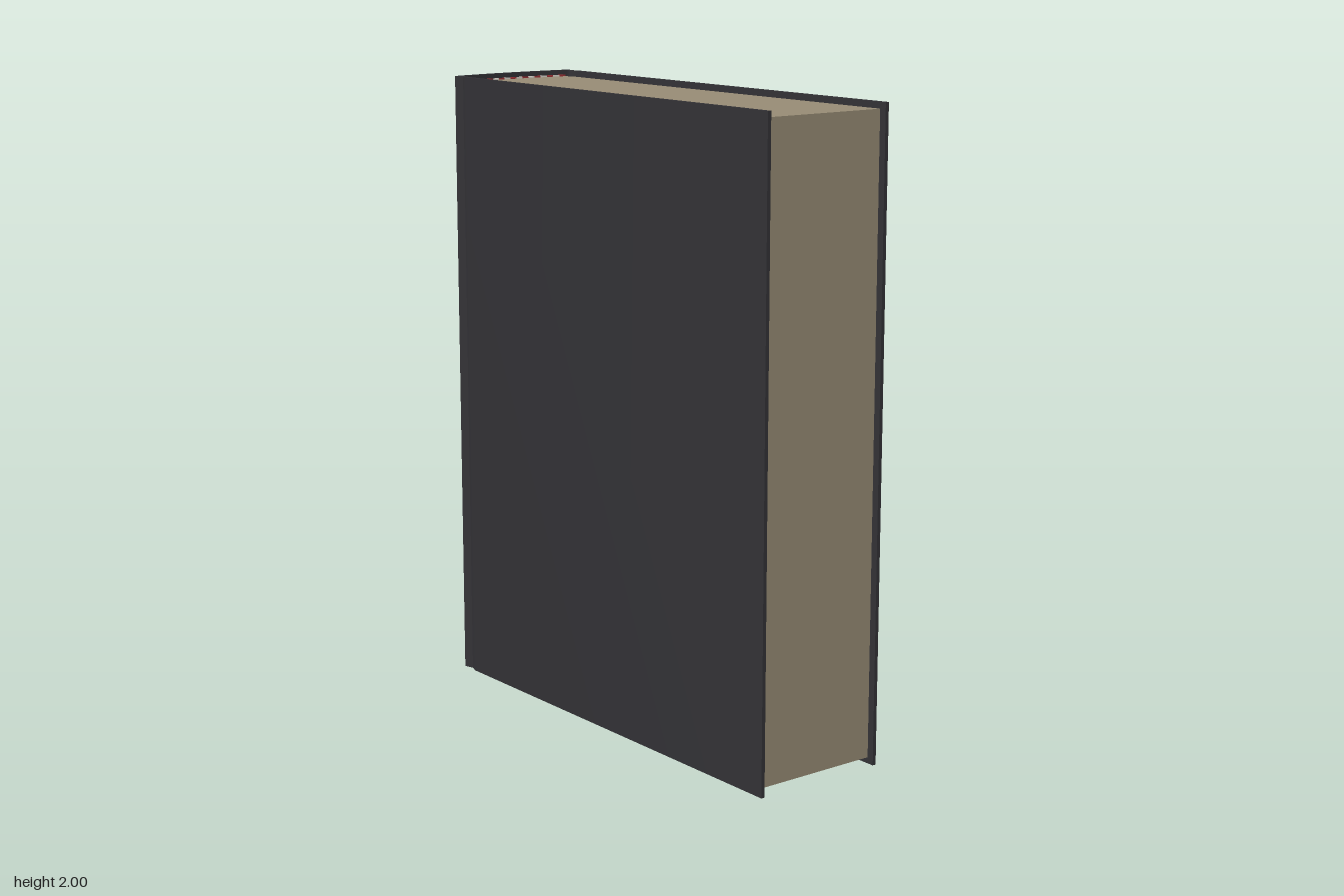
import * as THREE from 'three';
import { toCreasedNormals } from 'three/addons/utils/BufferGeometryUtils.js';

const HALF_DEPTH = 0.227;
const BOARD = 0.012;

// Gentle bow of the spine: x of the outer face at a given z
const spineX = (z) => -0.787 + 0.017 * (z / HALF_DEPTH) ** 2;

// Points along the spine bow, from -halfZ to +halfZ
function spineArc(halfZ, inset, steps = 12) {
  return Array.from({ length: steps + 1 }, (_, i) => {
    const z = -halfZ + (2 * halfZ * i) / steps;
    return new THREE.Vector2(spineX(z) + inset, z);
  });
}

// Extrude an (x, z) outline upward from y0 to y1
function upright(points, y0, y1) {
  const geo = new THREE.ExtrudeGeometry(new THREE.Shape(points), { depth: y1 - y0, bevelEnabled: false });
  geo.rotateX(Math.PI / 2).translate(0, y1, 0);
  return toCreasedNormals(geo, 0.35);
}

// Spine bow plus both boards with their hinge grooves, as an open line
function coverLine(inset) {
  const z = HALF_DEPTH - inset;
  const side = [[-0.737, z - 0.009], [-0.71, z], [0.787, z]];
  const front = side.map(([x, d]) => new THREE.Vector2(x, d));
  const back = side.map(([x, d]) => new THREE.Vector2(x, -d)).reverse();
  return [...back, ...spineArc(z, inset), ...front];
}

export function createModel() {
  const book = new THREE.Group();
  book.name = 'book';
  const add = (name, geo, color, parent = book) => {
    const mesh = new THREE.Mesh(geo, new THREE.MeshStandardMaterial({ color }));
    mesh.name = name;
    parent.add(mesh);
    return mesh;
  };

  // Hard cover wrapped around the block
  add('cover', upright([...coverLine(0), ...coverLine(BOARD).reverse()], 0, 2), 0x333236);

  // Page block, rounded at the spine and narrowed at the hinges
  const pageZ = HALF_DEPTH - BOARD - 0.001;
  const pages = [
    ...spineArc(pageZ - 0.008, BOARD + 0.008),
    new THREE.Vector2(-0.737, pageZ - 0.009), new THREE.Vector2(-0.71, pageZ), new THREE.Vector2(0.765, pageZ),
    new THREE.Vector2(0.765, -pageZ), new THREE.Vector2(-0.71, -pageZ), new THREE.Vector2(-0.737, -pageZ + 0.009),
  ];
  add('pageBlock', upright(pages, 0.02, 1.98), 0x978c75);

  // Striped head and tail bands between spine and pages
  const stripes = 17;
  const step = (2 * (pageZ - 0.012)) / stripes;
  for (const [name, y] of [['headBand', 1.979], ['tailBand', 0.021]]) {
    const band = new THREE.Group();
    band.name = name;
    book.add(band);
    for (let i = 0; i < stripes; i++) {
      const z = (i - (stripes - 1) / 2) * step;
      const stripe = add('stripe', new THREE.BoxGeometry(0.008, 0.012, step), i % 2 ? 0xd8d2c8 : 0x9c2f33, band);
      stripe.position.set(spineX(z) + BOARD + 0.005, y, z);
      stripe.rotation.y = Math.atan((0.034 * z) / HALF_DEPTH ** 2);
    }
  }
  return book;
}
